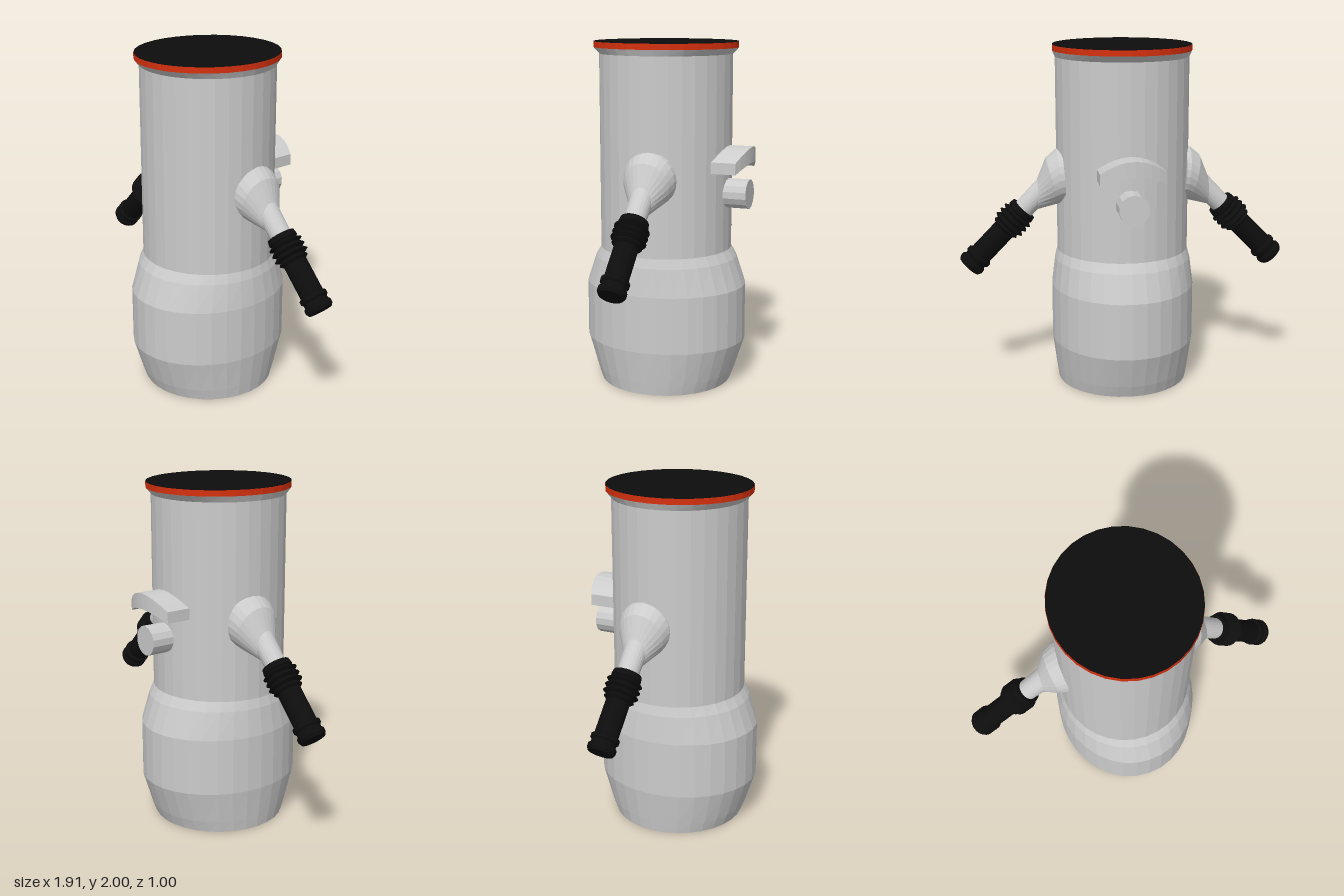
import * as THREE from 'three';

const paint = (color) => new THREE.MeshStandardMaterial({ color, flatShading: true });
const V = (x, y, z) => new THREE.Vector3(x, y, z);

// Skin a list of equal-length rings, closing both ends with fans
function loft(rings) {
  const n = rings[0].length, pos = [];
  const tri = (...pts) => pts.forEach((p) => pos.push(p.x, p.y, p.z));
  for (let i = 0; i < rings.length - 1; i++) {
    for (let j = 0; j < n; j++) {
      const k = (j + 1) % n, lo = rings[i], hi = rings[i + 1];
      tri(lo[j], hi[j], lo[k]);
      tri(hi[j], hi[k], lo[k]);
    }
  }
  const first = rings[0], last = rings[rings.length - 1];
  const mid = (r) => r.reduce((s, p) => s.add(p), V(0, 0, 0)).divideScalar(n);
  const a = mid(first), b = mid(last);
  for (let j = 0; j < n; j++) {
    const k = (j + 1) % n;
    tri(a, first[j], first[k]);
    tri(b, last[k], last[j]);
  }
  const geo = new THREE.BufferGeometry();
  geo.setAttribute('position', new THREE.Float32BufferAttribute(pos, 3));
  geo.computeVertexNormals();
  return geo;
}

// Ellipse around a centre, swept from half-axis u to half-axis v
const ellipse = (c, u, v, n) => Array.from({ length: n }, (_, i) => {
  const t = (i / n) * Math.PI * 2;
  return c.clone().addScaledVector(u, Math.cos(t)).addScaledVector(v, Math.sin(t));
});

export function createModel() {
  const model = new THREE.Group();
  const grey = paint(0xcccccc), black = paint(0x0d0d0d), red = paint(0xd6300e);
  const add = (parent, name, geo, mat) => {
    const mesh = new THREE.Mesh(geo, mat);
    mesh.name = name;
    parent.add(mesh);
    return mesh;
  };

  // Upright stack of ellipses: [height, x radius, z radius]
  const bodyZ = 0.025;
  const stack = (rows) => loft(rows.map(([y, rx, rz]) =>
    ellipse(V(0, y, bodyZ), V(rx, 0, 0), V(0, 0, rz), 32)));

  // Body with a swollen base and a flared neck
  add(model, 'body', stack([
    [0, 0.385, 0.385], [0.07, 0.395, 0.413], [0.26, 0.42, 0.475], [0.59, 0.42, 0.475],
    [0.75, 0.4, 0.418], [0.805, 0.385, 0.385], [1.93, 0.385, 0.385], [1.965, 0.4, 0.42],
  ]), grey);
  add(model, 'rimBand', stack([[1.965, 0.4, 0.42], [1.998, 0.4, 0.42]]), red);
  add(model, 'topDisc', stack([[1.996, 0.399, 0.419], [2, 0.399, 0.419]]), black);

  // Arm socket sections: [top x, top y, bottom x, bottom y, z radius]
  const socket = loft([
    [0.36, 1.41, 0.34, 1.095, 0.155], [0.39, 1.405, 0.355, 1.095, 0.153],
    [0.45, 1.355, 0.38, 1.088, 0.135], [0.5, 1.232, 0.5, 1.056, 0.065],
    [0.645, 1.078, 0.56, 0.996, 0.06],
  ].map(([tx, ty, bx, by, rz]) => ellipse(
    V((tx + bx) / 2, (ty + by) / 2, 0), V((tx - bx) / 2, (ty - by) / 2, 0), V(0, 0, -rz), 24)));

  // Ribbed grip: [radius, distance along the arm]
  const grip = new THREE.LatheGeometry([
    [0, 0], [0.08, 0], [0.085, 0.03], [0.075, 0.04], [0.1, 0.055], [0.078, 0.07],
    [0.1, 0.09], [0.078, 0.105], [0.1, 0.125], [0.075, 0.14], [0.085, 0.155], [0.067, 0.17],
    [0.067, 0.365], [0.08, 0.375], [0.08, 0.395], [0.07, 0.405], [0.07, 0.42],
    [0.08, 0.43], [0.08, 0.45], [0.07, 0.467], [0, 0.467],
  ].map(([r, d]) => new THREE.Vector2(r, d)), 20);
  const along = V(0.325, -0.335, 0).normalize();

  // The arms match under a half turn about the vertical axis
  for (const [name, turn] of [['leftArm', 0], ['rightArm', Math.PI]]) {
    const arm = new THREE.Group();
    arm.name = name;
    arm.position.z = -0.015;
    arm.rotation.y = turn;
    add(arm, 'armSocket', socket, grey);
    const handle = add(arm, 'grip', grip, black);
    handle.position.set(0.58, 1.06, 0);
    handle.quaternion.setFromUnitVectors(V(0, 1, 0), along);
    model.add(arm);
  }

  // Arched hood on the back, bowed both down and around the body
  const hood = [];
  for (let i = 0; i <= 8; i++) {
    const u = i / 4 - 1, x = 0.185 * u;
    const top = 1.415 - 0.075 * u * u, bottom = 1.325 - 0.05 * u * u;
    const outer = -0.5 + 0.045 * u * u;
    hood.push([V(x, top, -0.31), V(x, top, outer), V(x, bottom, outer), V(x, bottom, -0.31)]);
  }
  add(model, 'backHood', loft(hood), grey);

  // Round knob below the hood
  const knob = add(model, 'backKnob', new THREE.CylinderGeometry(0.086, 0.086, 0.155, 14), grey);
  knob.rotation.x = Math.PI / 2;
  knob.position.set(0, 1.14, -0.4075);

  return model;
}
